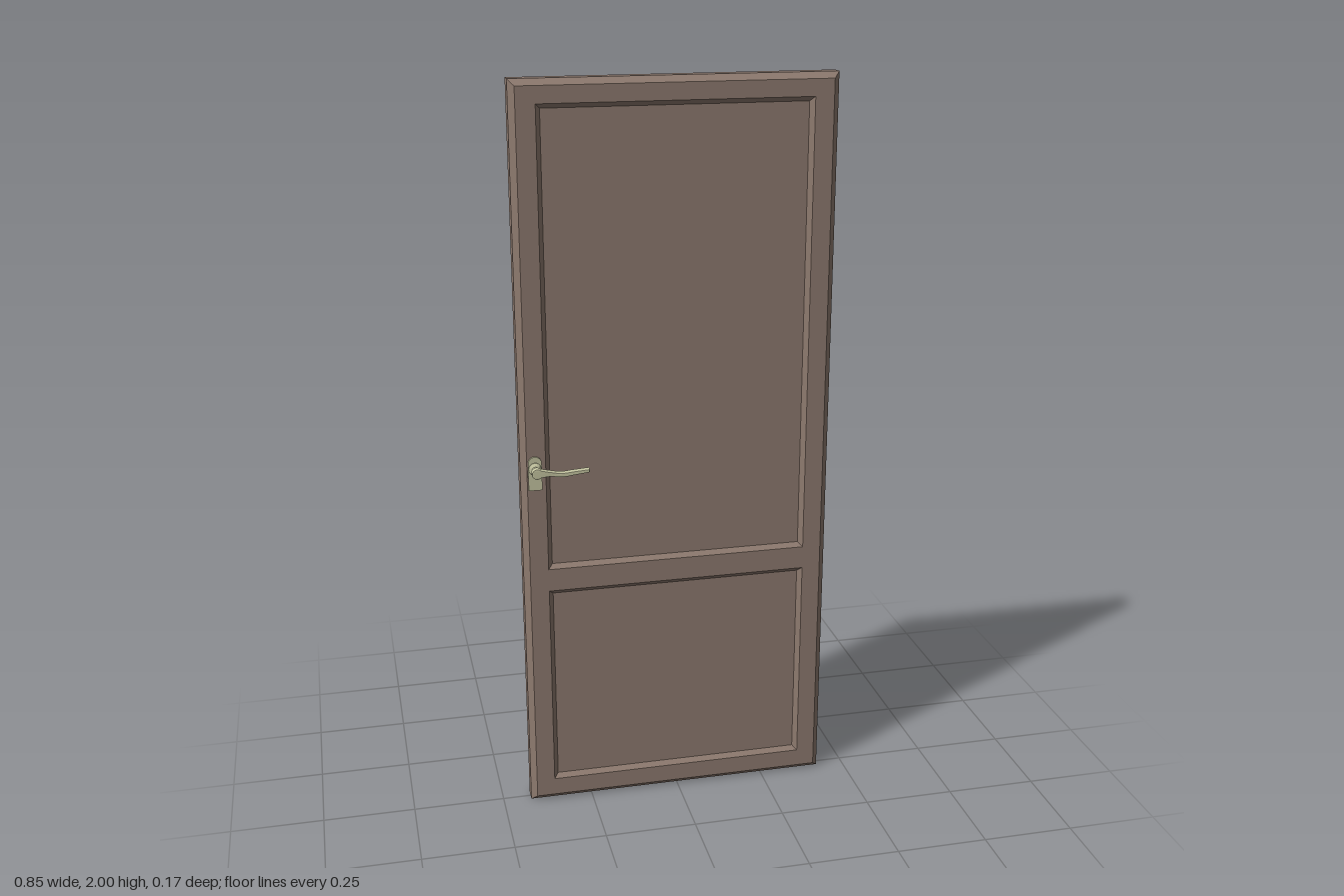
import * as THREE from 'three';
import { toCreasedNormals } from 'three/addons/utils/BufferGeometryUtils.js';

const wood = new THREE.MeshStandardMaterial({ color: 0x8f7b70 });
const metal = new THREE.MeshStandardMaterial({ color: 0xc6c6a2 });

const HALF_W = 0.423, HALF_D = 0.034, BEVEL = 0.016;
const PANEL_HALF_W = 0.357, PANEL_HALF_D = 0.022;
const PANELS = [['lowerPanel', 0.065, 0.645], ['upperPanel', 0.708, 1.94]];

function addMesh(parent, name, geometry, material) {
  const mesh = new THREE.Mesh(geometry, material);
  mesh.name = name;
  parent.add(mesh);
  return mesh;
}

function rectangle(target, halfW, y0, y1) {
  target.moveTo(-halfW, y0);
  target.lineTo(halfW, y0);
  target.lineTo(halfW, y1);
  target.lineTo(-halfW, y1);
  target.closePath();
  return target;
}

// Chamfered frame; the same bevel slopes into the panel openings
function doorLeaf() {
  const leaf = new THREE.Group();
  leaf.name = 'doorLeaf';
  const outline = rectangle(new THREE.Shape(), HALF_W - BEVEL, BEVEL, 2 - BEVEL);
  for (const [, y0, y1] of PANELS) outline.holes.push(rectangle(new THREE.Path(), PANEL_HALF_W, y0, y1));
  const depth = 2 * (HALF_D - BEVEL);
  const frame = new THREE.ExtrudeGeometry(outline, {
    depth, bevelEnabled: true, bevelSize: BEVEL, bevelThickness: BEVEL, bevelSegments: 1,
  });
  addMesh(leaf, 'frame', frame.translate(0, 0, -depth / 2), wood);

  // Recessed panels
  for (const [name, y0, y1] of PANELS) {
    const panel = new THREE.BoxGeometry(2 * PANEL_HALF_W, y1 - y0, 2 * PANEL_HALF_D);
    addMesh(leaf, name, panel, wood).position.y = (y0 + y1) / 2;
  }
  return leaf;
}

// Handle, built around its spindle axis with z = 0 on the door face
function handle(name) {
  const group = new THREE.Group();
  group.name = name;

  // Back plate with a rounded top
  const plate = new THREE.Shape();
  plate.moveTo(-0.018, -0.06);
  plate.lineTo(0.018, -0.06);
  plate.lineTo(0.018, 0.015);
  plate.absarc(0, 0.015, 0.018, 0, Math.PI);
  plate.closePath();
  const plateGeometry = new THREE.ExtrudeGeometry(plate, { depth: 0.005, bevelEnabled: false });
  addMesh(group, 'backPlate', toCreasedNormals(plateGeometry, 0.6), metal);

  // Flared collar and neck
  const profile = [[0.017, 0.004], [0.017, 0.007], [0.011, 0.013], [0.009, 0.014], [0.009, 0.034]]
    .map(([r, h]) => new THREE.Vector2(r, h));
  const neck = new THREE.LatheGeometry(profile, 20).rotateX(Math.PI / 2);
  addMesh(group, 'neck', toCreasedNormals(neck, 0.5), metal);

  // Wavy lever with a round head
  const lever = new THREE.Shape();
  lever.absarc(0, 0, 0.014, Math.PI * 0.25, Math.PI * 1.75);
  lever.splineThru([[0.035, -0.008], [0.065, -0.012], [0.095, -0.009], [0.138, -0.004]]
    .map(([x, y]) => new THREE.Vector2(x, y)));
  lever.lineTo(0.138, 0.004);
  lever.splineThru([[0.095, 0.001], [0.065, -0.001], [0.035, 0.004], [0.0099, 0.0099]]
    .map(([x, y]) => new THREE.Vector2(x, y)));
  const leverGeometry = new THREE.ExtrudeGeometry(lever, {
    depth: 0.016, curveSegments: 12, bevelEnabled: true,
    bevelSize: 0.0015, bevelThickness: 0.002, bevelOffset: -0.0015, bevelSegments: 2,
  });
  addMesh(group, 'lever', toCreasedNormals(leverGeometry.translate(0, 0, 0.032), 0.6), metal);
  return group;
}

export function createModel() {
  const model = new THREE.Group();
  model.name = 'door';
  model.add(doorLeaf());

  // Matching handles on both faces
  for (const side of [1, -1]) {
    const h = handle(side > 0 ? 'frontHandle' : 'backHandle');
    h.position.set(-0.386, 1, side * HALF_D);
    h.scale.z = side;
    model.add(h);
  }
  return model;
}
